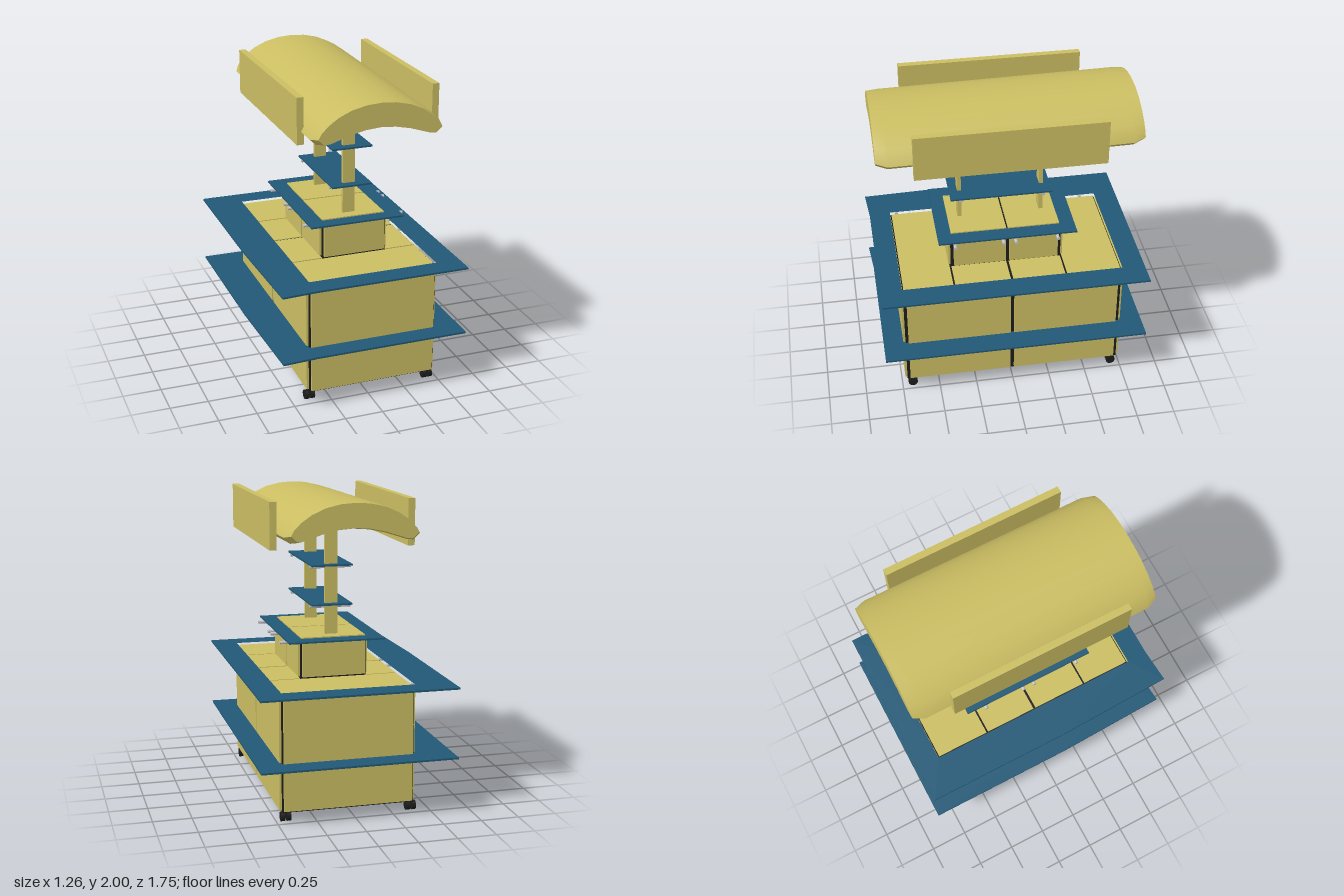
import * as THREE from 'three';
import { toCreasedNormals } from 'three/addons/utils/BufferGeometryUtils.js';

const CX = 0.04; // the cabinet sits slightly off the shelf centre

export function createModel() {
  const root = new THREE.Group();
  root.name = 'displayStand';
  const mat = (name, color) => {
    const m = new THREE.MeshStandardMaterial({ color });
    m.name = name;
    return m;
  };
  const wood = mat('pale wood', 0xcabd62);
  const blue = mat('blue glass', 0x215875);
  const black = mat('black frame', 0x1c1c1c);
  const steel = mat('steel', 0xc4c4c8);

  const add = (name, geo, m, x = 0, y = 0, z = 0) => {
    const mesh = new THREE.Mesh(geo, m);
    mesh.name = name;
    mesh.position.set(x, y, z);
    root.add(mesh);
    return mesh;
  };
  // Box given by its limits on each axis
  const box = (name, m, [x0, x1], [y0, y1], [z0, z1]) =>
    add(name, new THREE.BoxGeometry(x1 - x0, y1 - y0, z1 - z0), m,
      (x0 + x1) / 2, (y0 + y1) / 2, (z0 + z1) / 2);
  // Flat shelf with a rectangular opening; points are [x, z]
  const ringShelf = (name, outline, [x0, x1], [z0, z1], y, t) => {
    const v = ([x, z]) => new THREE.Vector2(x, -z);
    const shape = new THREE.Shape(outline.map(v));
    shape.holes.push(new THREE.Path([[x0, z0], [x1, z0], [x1, z1], [x0, z1]].map(v)));
    const geo = new THREE.ExtrudeGeometry(shape, { depth: t, bevelEnabled: false });
    add(name, geo.rotateX(-Math.PI / 2), blue, 0, y, 0);
  };
  const rod = (name, x0, x1, y, z) =>
    add(name, new THREE.CylinderGeometry(0.011, 0.011, x1 - x0, 12).rotateZ(Math.PI / 2),
      steel, (x0 + x1) / 2, y, z);

  // Cabinet: dark core with panels on all four sides, split at z = 0 along the sides
  const cabinet = (name, hx, zb, zf, y0, y1) => {
    const t = 0.022, g = 0.012;
    box(name + 'Frame', black, [CX - hx + t - 0.008, CX + hx - t + 0.008], [y0, y1],
      [zb + t - 0.008, zf - t + 0.008]);
    const ys = [y0 + 0.01, y1 - 0.01];
    const xs = [CX - hx + t, CX + hx - t];
    box(name + 'FrontPanel', wood, xs, ys, [zf - t, zf]);
    box(name + 'BackPanel', wood, xs, ys, [zb, zb + t]);
    for (const s of [-1, 1]) {
      const px = s < 0 ? [CX - hx, CX - hx + t] : [CX + hx - t, CX + hx];
      box(name + 'SidePanel', wood, px, ys, [g, zf - t - g]);
      box(name + 'SidePanel', wood, px, ys, [zb + t + g, -g]);
    }
  };
  cabinet('lowerCabinet', 0.44, -0.74, 0.73, 0.065, 0.82);
  cabinet('upperCabinet', 0.23, -0.37, 0.39, 0.825, 1.075);

  // Top boards of the lower cabinet around the upper one
  const topY = [0.81, 0.826];
  box('topBoard', wood, [-0.38, 0.46], topY, [0.385, 0.71]);
  box('topBoard', wood, [-0.38, 0.46], topY, [-0.72, -0.365]);
  for (const xs of [[-0.38, -0.18], [0.26, 0.46]]) {
    box('topBoard', wood, xs, topY, [0.008, 0.373]);
    box('topBoard', wood, xs, topY, [-0.353, -0.008]);
  }
  // Top boards of the upper cabinet
  box('upperTopBoard', wood, [-0.175, 0.25], [1.06, 1.09], [0.006, 0.37]);
  box('upperTopBoard', wood, [-0.175, 0.25], [1.06, 1.09], [-0.345, -0.006]);

  // Large shelves running around the lower cabinet
  const outline = [[-0.635, -0.88], [0.63, -0.88], [0.63, 0.86], [-0.38, 0.86], [-0.61, 0.875], [-0.635, 0.12]];
  for (const y of [0.374, 0.826]) {
    ringShelf('wideShelf', outline, [-0.39, 0.47], [-0.73, 0.72], y, 0.012);
    for (const z of [0.675, 0.075, -0.105, -0.63]) {
      rod('shelfBracket', -0.53, -0.4, y - 0.011, z);
      rod('shelfBracket', 0.48, 0.605, y - 0.011, z);
    }
  }
  // Shelf around the upper cabinet
  ringShelf('upperShelf', [[-0.28, -0.445], [0.35, -0.445], [0.35, 0.46], [-0.28, 0.46]],
    [-0.17, 0.245], [-0.34, 0.365], 1.072, 0.011);
  for (const z of [0.355, 0.04, -0.04, -0.315]) {
    rod('upperShelfBracket', -0.3, -0.19, 1.06, z);
    rod('upperShelfBracket', 0.27, 0.385, 1.06, z);
  }

  // Posts with two small shelves
  for (const z of [0.288, -0.253]) {
    box('post', wood, [-0.01, 0.072], [1.08, 1.83], [z - 0.013, z + 0.013]);
    for (const y of [1.272, 1.53]) rod('smallShelfBracket', -0.1, 0.17, y, z);
  }
  for (const y of [1.282, 1.537]) box('smallShelf', blue, [-0.1, 0.17], [y, y + 0.011], [-0.31, 0.355]);

  // Casters: twin wheels and a short stem at each corner
  for (const x of [-0.38, 0.44]) for (const z of [0.68, -0.69]) {
    for (const s of [-1, 1]) {
      add('casterWheel', new THREE.CylinderGeometry(0.031, 0.031, 0.026, 16).rotateZ(Math.PI / 2),
        black, x + s * 0.019, 0.031, z);
    }
    add('casterStem', new THREE.CylinderGeometry(0.017, 0.017, 0.045, 12), black, x, 0.053, z);
  }

  // Arched canopy: a half profile mirrored about its middle, narrowed at both ends
  const mid = 0.03;
  const lower = [[0, 1.826], [0.1, 1.818], [0.2, 1.797], [0.29, 1.768], [0.345, 1.75], [0.385, 1.748]];
  const upper = [[0.425, 1.785], [0.405, 1.822], [0.36, 1.868], [0.29, 1.917], [0.2, 1.957], [0.1, 1.98], [0, 1.987]];
  const half = [...lower, ...upper];
  const profile = [...half, ...half.slice(1, -1).reverse().map(([x, y]) => [-x, y])];
  const n = profile.length;
  const rows = [[-0.832, 0.93], [-0.76, 1], [0.76, 1], [0.832, 0.93]];
  const pos = [], idx = [];
  for (const [z, s] of rows) {
    for (const [x, y] of profile) pos.push(mid + x * s, 1.99 + (y - 1.99) * s - 0.013 * z, z);
  }
  for (let r = 0; r < rows.length - 1; r++) {
    for (let i = 0; i < n; i++) {
      const a = r * n + i, b = r * n + (i + 1) % n;
      idx.push(a, b, b + n, a, b + n, a + n);
    }
  }
  const last = (rows.length - 1) * n;
  for (const [a, b, c] of THREE.ShapeUtils.triangulateShape(profile.map(p => new THREE.Vector2(...p)), [])) {
    idx.push(last + a, last + b, last + c, c, b, a);
  }
  const canopy = new THREE.BufferGeometry();
  canopy.setAttribute('position', new THREE.Float32BufferAttribute(pos, 3));
  canopy.setIndex(idx);
  add('canopy', toCreasedNormals(canopy, 0.5), wood);

  // Side boards of the canopy
  for (const xs of [[-0.422, -0.378], [0.458, 0.502]]) {
    box('canopySideBoard', wood, xs, [1.695, 1.99], [-0.585, 0.61]);
  }
  return root;
}
